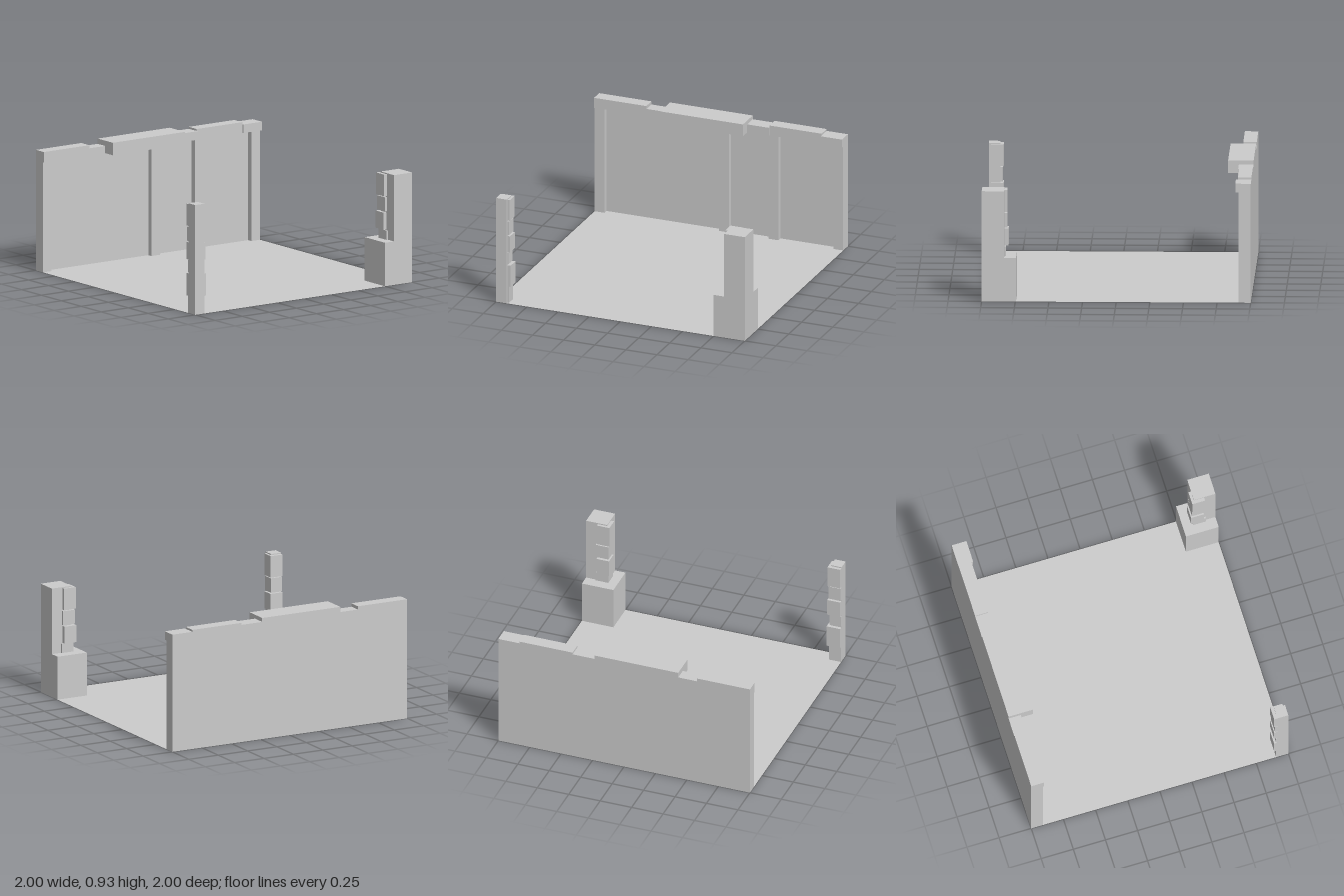
import * as THREE from 'three';

const material = new THREE.MeshStandardMaterial({ color: 0xcccccc, flatShading: true });

// Box given by its extents along x, y and z
function block(parent, name, [x0, x1], [y0, y1], [z0, z1]) {
  const mesh = new THREE.Mesh(new THREE.BoxGeometry(x1 - x0, y1 - y0, z1 - z0), material);
  mesh.position.set((x0 + x1) / 2, (y0 + y1) / 2, (z0 + z1) / 2);
  mesh.name = name;
  parent.add(mesh);
}

function subgroup(parent, name) {
  const group = new THREE.Group();
  group.name = name;
  parent.add(group);
  return group;
}

export function createModel() {
  const model = new THREE.Group();
  model.name = 'ruinedRoom';

  // Floor: a thin sheet seen from both sides
  const floorMaterial = material.clone();
  floorMaterial.side = THREE.DoubleSide;
  const floor = new THREE.Mesh(new THREE.PlaneGeometry(2, 2).rotateX(-Math.PI / 2), floorMaterial);
  floor.name = 'floor';
  model.add(floor);

  // Back wall: recessed panel with upright posts
  const wall = subgroup(model, 'backWall');
  block(wall, 'wallPanel', [-1, 1], [0, 0.835], [-1, -0.95]);
  for (const x of [-1, 0, 0.4, 0.92]) {
    block(wall, 'wallPost', [x, x + 0.08], [0, 0.835], [-0.99, -0.91]);
  }

  // Uneven coping stones: x start, x end, top, front
  const coping = [
    [-1, -0.58, 0.915, -0.9],
    [-0.58, -0.43, 0.89, -0.905],
    [-0.43, 0.235, 0.93, -0.81],
    [0.235, 0.41, 0.9, -0.89],
    [0.41, 0.83, 0.915, -0.9],
    [0.83, 1, 0.9, -0.885],
  ];
  for (const [x0, x1, top, front] of coping) {
    block(wall, 'copingStone', [x0, x1], [0.835, top], [-1, front]);
  }

  // Left column on a square base, with stones on its inner corner
  const left = subgroup(model, 'leftColumn');
  block(left, 'columnBase', [0.75, 1], [0, 0.33], [0.745, 1]);
  block(left, 'columnShaft', [0.833, 1], [0.33, 0.833], [0.833, 1]);
  const leftStones = [ // bottom, top, inner x, inner z
    [0.33, 0.4, 0.82, 0.823],
    [0.405, 0.535, 0.807, 0.803],
    [0.545, 0.652, 0.815, 0.812],
    [0.66, 0.825, 0.807, 0.812],
  ];
  for (const [y0, y1, x, z] of leftStones) {
    block(left, 'cornerStone', [x, x + 0.1], [y0, y1], [z, z + 0.1]);
  }

  // Slim right column wrapped in stones
  const right = subgroup(model, 'rightColumn');
  block(right, 'columnShaft', [-1, -0.915], [0, 0.833], [0.915, 1]);
  const rightStones = [ // bottom, top, inner x, inner z
    [0, 0.13, -0.903, 0.905],
    [0.13, 0.3, -0.89, 0.89],
    [0.31, 0.4, -0.907, 0.905],
    [0.405, 0.535, -0.895, 0.89],
    [0.545, 0.652, -0.902, 0.897],
    [0.66, 0.825, -0.897, 0.89],
  ];
  for (const [y0, y1, x, z] of rightStones) {
    block(right, 'cornerStone', [-0.998, x], [y0, y1], [z, 0.985]);
  }

  return model;
}
